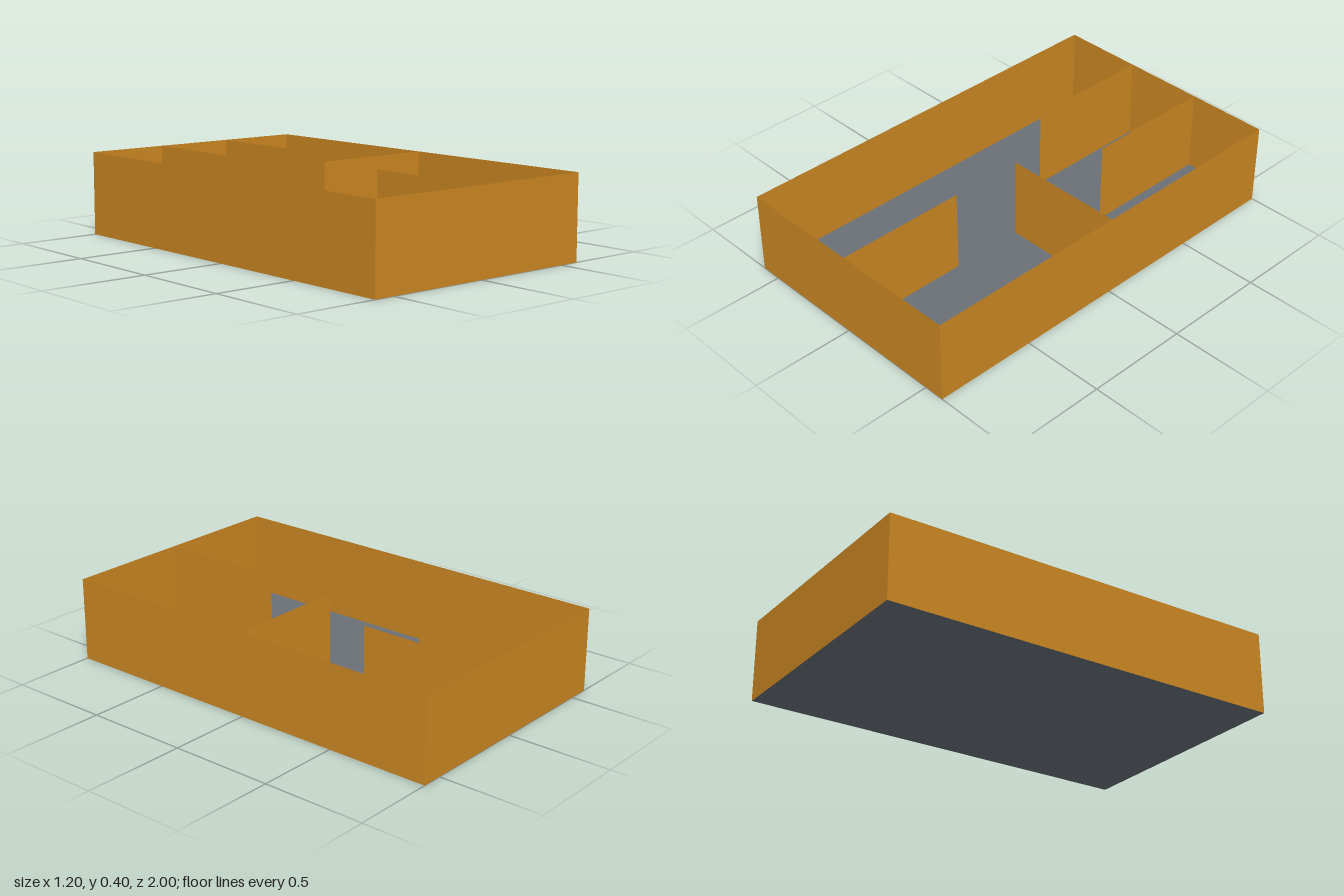
import * as THREE from 'three';

const HEIGHT = 0.4;

export function createModel() {
  const wallPaint = new THREE.MeshStandardMaterial({ color: 0xcc8822, side: THREE.DoubleSide });
  wallPaint.name = 'ochre wall';
  const floorPaint = new THREE.MeshStandardMaterial({ color: 0x6b7078, side: THREE.DoubleSide });
  floorPaint.name = 'grey floor';

  const model = new THREE.Group();
  model.name = 'floorPlan';

  // Floor sheet
  const floor = new THREE.Mesh(new THREE.PlaneGeometry(1.2, 2).rotateX(-Math.PI / 2), floorPaint);
  floor.name = 'floor';
  model.add(floor);

  // Upright wall sheet running between two floor points
  function addWall(name, x1, z1, x2, z2) {
    const dx = x2 - x1, dz = z2 - z1;
    const wall = new THREE.Mesh(new THREE.PlaneGeometry(Math.hypot(dx, dz), HEIGHT), wallPaint);
    wall.name = name;
    wall.position.set((x1 + x2) / 2, HEIGHT / 2, (z1 + z2) / 2);
    wall.rotation.y = Math.atan2(-dz, dx);
    model.add(wall);
  }

  // Outer walls, ordered so each faces outward
  addWall('frontWall', -0.6, 1, 0.6, 1);
  addWall('leftWall', 0.6, 1, 0.6, -1);
  addWall('backWall', 0.6, -1, -0.6, -1);
  addWall('rightWall', -0.6, -1, -0.6, 1);

  // Inner partitions
  addWall('frontPartition', 0, 1, 0, 0.36);
  addWall('middlePartition', 0, 0, 0.6, 0);
  addWall('backPartitionLeft', 0.2, -0.36, 0.2, -1);
  addWall('backPartitionRight', -0.2, -0.36, -0.2, -1);

  return model;
}
